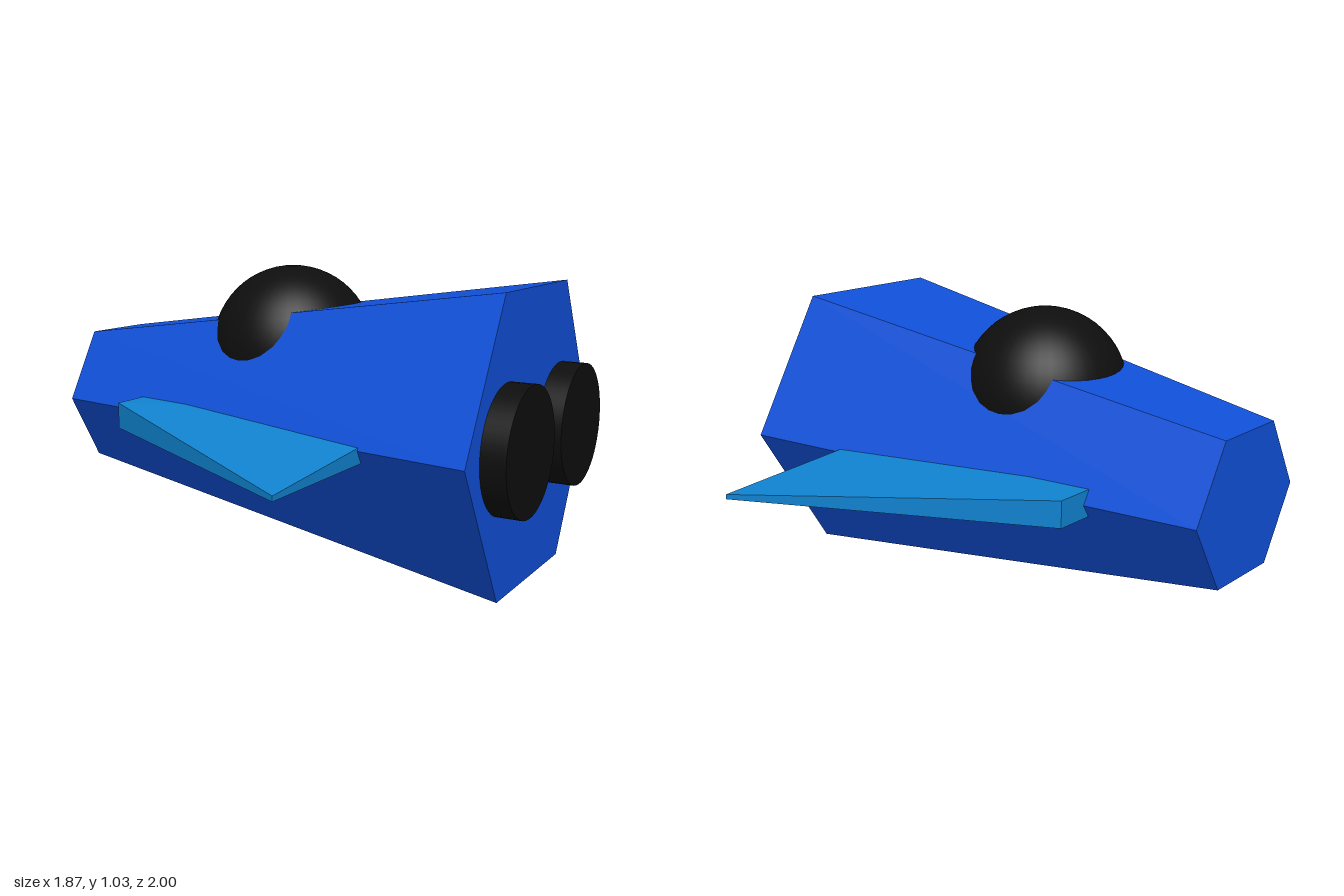
import * as THREE from 'three';

const hullBlue = new THREE.MeshStandardMaterial({ color: 0x1050d8 });
hullBlue.name = 'hullBlue';
const wingBlue = new THREE.MeshStandardMaterial({ color: 0x1083d0 });
wingBlue.name = 'wingBlue';
const black = new THREE.MeshStandardMaterial({ color: 0x0e0e0e });
black.name = 'black';

function flat(geometry) {
  const g = geometry.toNonIndexed();
  g.computeVertexNormals();
  return g;
}

// Tapered slab: box corners pulled to a swept plan with a thin outer rear tip
function wingGeometry(side) {
  const g = new THREE.BoxGeometry(1, 1, 1);
  const p = g.attributes.position;
  for (let i = 0; i < p.count; i++) {
    const rear = p.getX(i) > 0, top = p.getY(i) > 0, outer = p.getZ(i) > 0;
    const y = !top ? 0.453 : rear && outer ? 0.47 : 0.546;
    const z = !outer ? 0 : rear ? 1 : 0.46;
    p.setXYZ(i, rear ? 0.46 : -0.55, y, z * side);
  }
  // Mirroring turns the faces inside out, so reverse the corner order
  if (side < 0) g.setIndex(Array.from(g.index.array).reverse());
  return flat(g);
}

export function createModel() {
  const model = new THREE.Group();
  model.name = 'spaceship';

  const add = (name, geometry, material, x = 0, y = 0, z = 0) => {
    const mesh = new THREE.Mesh(geometry, material);
    mesh.name = name;
    mesh.position.set(x, y, z);
    model.add(mesh);
    return mesh;
  };

  // Six-sided hull, narrow nose towards -x
  const hull = new THREE.CylinderGeometry(0.574, 0.287, 1.785, 6).rotateZ(-Math.PI / 2);
  add('hull', flat(hull), hullBlue, -0.0425, 0.498, 0);

  // Round canopy sunk into the top of the hull
  add('canopy', new THREE.SphereGeometry(0.298, 40, 28), black, -0.09, 0.732, 0);

  // Wings and engines on both sides
  for (const side of [1, -1]) {
    const label = side > 0 ? 'front' : 'back';
    add(label + 'Wing', wingGeometry(side), wingBlue);
    const engine = new THREE.CylinderGeometry(0.215, 0.215, 0.17, 48).rotateZ(-Math.PI / 2);
    add(label + 'Engine', engine, black, 0.85, 0.498, side * 0.248);
  }
  return model;
}
